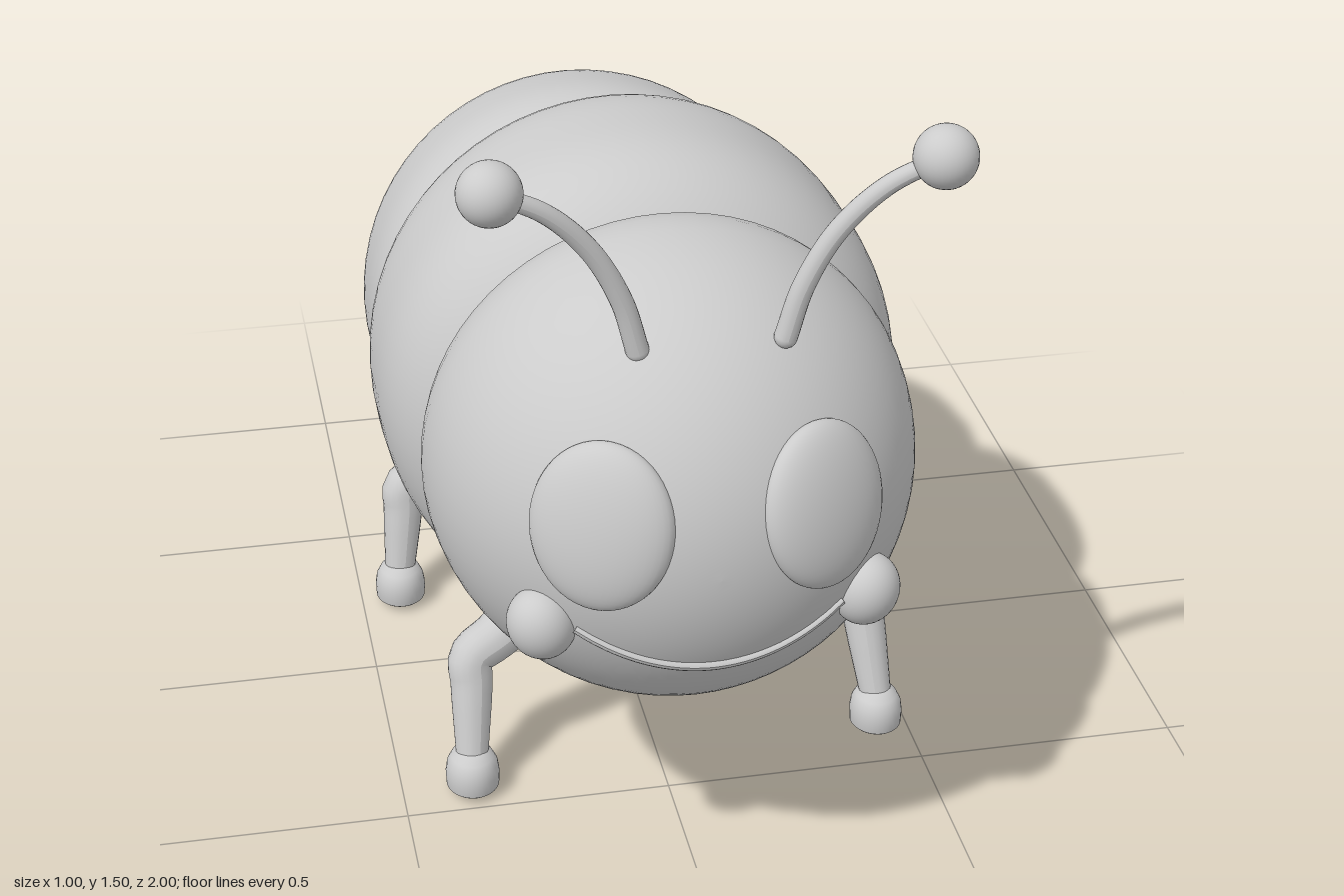
import * as THREE from 'three';

const material = new THREE.MeshStandardMaterial({ color: 0xcccccc });
const V = (x, y, z) => new THREE.Vector3(x, y, z);

// Head dome: half ellipsoid along +z
const HEAD = { x: -0.02, y: 0.785, z: 0.55, r: 0.437, depth: 0.45 };

function add(parent, name, geometry, position) {
  const mesh = new THREE.Mesh(geometry, material);
  mesh.name = name;
  if (position) mesh.position.copy(position);
  parent.add(mesh);
  return mesh;
}

// Lathe whose axis runs along z (profile y becomes z)
function latheZ(points) {
  return new THREE.LatheGeometry(points, 64).rotateX(Math.PI / 2);
}

// Barrel-like rounded body segment; power above 2 makes it squarer
function segmentGeometry(radius, halfLength, power) {
  const points = [];
  for (let i = 0; i <= 40; i++) {
    const t = -Math.cos((i / 40) * Math.PI);
    points.push(new THREE.Vector2(radius * Math.sqrt(Math.max(0, 1 - Math.abs(t) ** power)), halfLength * t));
  }
  return latheZ(points);
}

function headGeometry() {
  const { r, depth } = HEAD;
  const points = [[0, -0.08], [0.36, -0.08], [0.4, -0.079], [0.417, -0.073], [0.427, -0.06], [0.434, -0.03]]
    .map(([a, b]) => new THREE.Vector2(a, b));
  for (let i = 0; i <= 32; i++) {
    const a = (i / 32) * Math.PI / 2;
    points.push(new THREE.Vector2(r * Math.cos(a), depth * Math.sin(a)));
  }
  return latheZ(points);
}

// Point on the face and its outward normal
function onHead(x, y, lift = 0) {
  const dx = x - HEAD.x, dy = y - HEAD.y;
  const dz = HEAD.depth * Math.sqrt(1 - (dx * dx + dy * dy) / HEAD.r ** 2);
  const normal = V(dx / HEAD.r ** 2, dy / HEAD.r ** 2, dz / HEAD.depth ** 2).normalize();
  return { point: V(x, y, HEAD.z + dz).addScaledVector(normal, lift), normal };
}

// Ellipsoid set into the face, facing outward
function faceBall(parent, name, x, y, lift, size) {
  const { point, normal } = onHead(x, y, lift);
  const mesh = add(parent, name, new THREE.SphereGeometry(1, 40, 28).scale(...size), point);
  mesh.lookAt(point.clone().add(normal));
}

// Tube whose radius follows a list of values along its length
function taperedTube(points, radii, segments = 32, sides = 20) {
  const curve = new THREE.CatmullRomCurve3(points, false, 'centripetal');
  const geometry = new THREE.TubeGeometry(curve, segments, 1, sides);
  const position = geometry.attributes.position;
  const p = new THREE.Vector3();
  for (let i = 0; i < position.count; i++) {
    const t = Math.floor(i / (sides + 1)) / segments;
    const f = t * (radii.length - 1), k = Math.min(Math.floor(f), radii.length - 2);
    const radius = THREE.MathUtils.lerp(radii[k], radii[k + 1], f - k);
    const centre = curve.getPointAt(t);
    p.fromBufferAttribute(position, i).sub(centre).multiplyScalar(radius).add(centre);
    position.setXYZ(i, p.x, p.y, p.z);
  }
  geometry.computeVertexNormals();
  return geometry;
}

// Domed foot with a flat sole
function footGeometry() {
  const points = [[0, 0], [0.046, 0], [0.05, 0.004], [0.051, 0.03], [0.048, 0.05], [0.04, 0.066], [0.025, 0.078], [0, 0.084]]
    .map(([a, b]) => new THREE.Vector2(a, b));
  return new THREE.LatheGeometry(points, 32).scale(1, 1, 1.12);
}

function addLeg(parent, name, hip, knee, foot) {
  const leg = new THREE.Group();
  leg.name = name;
  const ankle = foot.clone().setY(foot.y + 0.055);
  const path = [
    hip,
    hip.clone().lerp(knee, 0.75),
    knee,
    knee.clone().lerp(ankle, 0.25),
    ankle,
  ];
  add(leg, 'limb', taperedTube(path, [0.062, 0.05, 0.044, 0.038, 0.03]));
  add(leg, 'foot', footGeometry(), foot);
  parent.add(leg);
}

export function createModel() {
  const model = new THREE.Group();
  model.name = 'caterpillar';

  // Body segments, each tilting further down toward the tail
  const segments = [
    ['frontSegment', V(-0.022, 0.785, 0.22), 0.48, 0.38, 3, 3],
    ['middleSegment', V(-0.03, 0.7, -0.22), 0.437, 0.325, 3, 13],
    ['rearSegment', V(-0.045, 0.51, -0.58), 0.362, 0.26, 2.6, 22],
    ['tail', V(-0.055, 0.4, -0.725), 0.275, 0.275, 2, 27],
  ];
  for (const [name, centre, radius, halfLength, power, tilt] of segments) {
    const mesh = add(model, name, segmentGeometry(radius, halfLength, power), centre);
    mesh.rotation.x = -THREE.MathUtils.degToRad(tilt);
  }

  // Head and face
  const head = new THREE.Group();
  head.name = 'head';
  model.add(head);
  add(head, 'skull', headGeometry(), V(HEAD.x, HEAD.y, HEAD.z));
  for (const [side, s] of [['left', 1], ['right', -1]]) {
    faceBall(head, side + 'Eye', HEAD.x + s * 0.195, 0.872, -0.018, [0.125, 0.147, 0.048]);
    faceBall(head, side + 'Cheek', HEAD.x + s * 0.278, 0.66, 0.005, [0.06, 0.067, 0.058]);
  }

  // Smile following the face
  const smile = [];
  for (let i = 0; i <= 16; i++) {
    const u = i / 8 - 1;
    smile.push(onHead(HEAD.x + u * 0.23, 0.588 + 0.075 * u * u).point);
  }
  add(head, 'mouth', taperedTube(smile, [0.008, 0.01, 0.008], 48, 10));

  // Antennae
  for (const [side, s] of [['left', 1], ['right', -1]]) {
    const stalk = [[0.125, 1.125, 0.808], [0.152, 1.22, 0.812], [0.205, 1.32, 0.82], [0.28, 1.4, 0.835], [0.37, 1.45, 0.85]]
      .map(([x, y, z]) => V(s * x, y, z));
    const antenna = new THREE.Group();
    antenna.name = side + 'Antenna';
    add(antenna, 'stalk', taperedTube(stalk, [0.02, 0.018, 0.015]));
    add(antenna, 'stalkBase', new THREE.SphereGeometry(0.02, 20, 14), stalk[0]);
    add(antenna, 'tip', new THREE.SphereGeometry(0.054, 32, 24), stalk[4]);
    head.add(antenna);
  }

  // Legs: three on the left, two on the right
  addLeg(model, 'leftFrontLeg', V(0.26, 0.43, 0.24), V(0.42, 0.27, 0.29), V(0.443, 0, 0.365));
  addLeg(model, 'leftMiddleLeg', V(0.24, 0.4, -0.12), V(0.405, 0.25, -0.165), V(0.44, 0.012, -0.145));
  addLeg(model, 'leftRearLeg', V(0.17, 0.31, -0.49), V(0.33, 0.22, -0.535), V(0.337, 0.012, -0.605));
  addLeg(model, 'rightFrontLeg', V(-0.16, 0.36, 0.29), V(-0.355, 0.255, 0.37), V(-0.367, 0.012, 0.435));
  addLeg(model, 'rightMiddleLeg', V(-0.2, 0.34, -0.31), V(-0.4, 0.25, -0.28), V(-0.42, 0.012, -0.24));

  return model;
}
